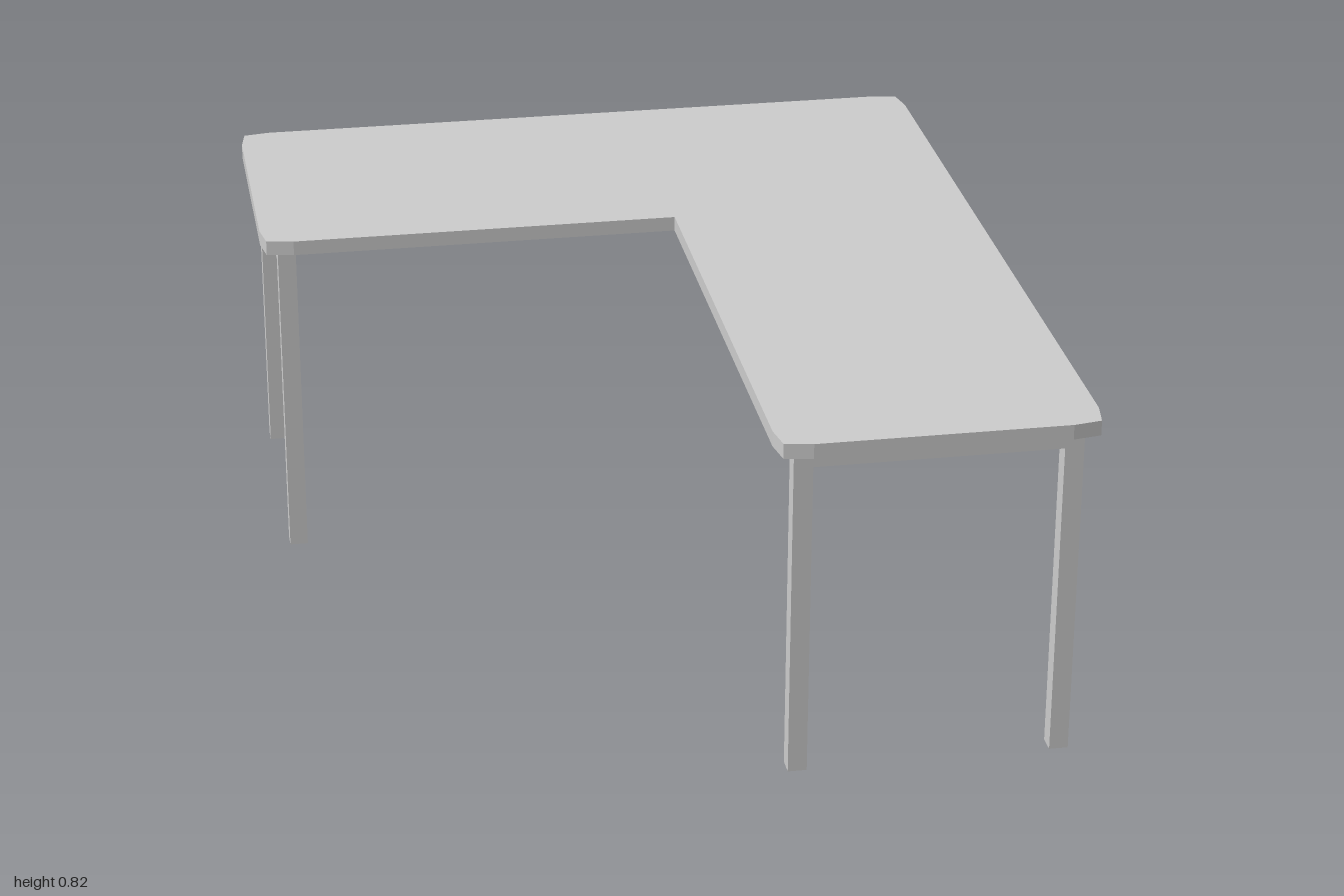
import * as THREE from 'three';

const TOP = 0.824, UNDER = 0.789, RAIL_BOTTOM = 0.75, BAR = 0.043;
const X = 0.857, Z = 1, INNER_X = 0.138, INNER_Z = -0.281;

const material = new THREE.MeshStandardMaterial({ color: 0xcccccc, flatShading: true });

// Box given by its minimum and maximum corners
function box(name, x0, x1, y0, y1, z0, z1) {
  const mesh = new THREE.Mesh(new THREE.BoxGeometry(x1 - x0, y1 - y0, z1 - z0), material);
  mesh.position.set((x0 + x1) / 2, (y0 + y1) / 2, (z0 + z1) / 2);
  mesh.name = name;
  return mesh;
}

// L-shaped outline in x and z; every outer corner is softened with two facets
function deskOutline() {
  const corners = [[-X, -Z], [X, -Z], [X, Z], [INNER_X, Z], [INNER_X, INNER_Z], [-X, INNER_Z]];
  const points = [];
  corners.forEach(([x, z], i) => {
    if (i === 4) return points.push(new THREE.Vector2(x, z));
    const corner = new THREE.Vector2(x, z);
    const before = new THREE.Vector2(...corners[(i + 5) % 6]).sub(corner).normalize();
    const after = new THREE.Vector2(...corners[(i + 1) % 6]).sub(corner).normalize();
    points.push(
      corner.clone().addScaledVector(before, 0.075),
      corner.clone().addScaledVector(before, 0.011).addScaledVector(after, 0.011),
      corner.clone().addScaledVector(after, 0.075)
    );
  });
  return new THREE.Shape(points);
}

export function createModel() {
  const model = new THREE.Group();
  model.name = 'cornerDesk';

  // Tabletop, extruded downward
  const topGeometry = new THREE.ExtrudeGeometry(deskOutline(), { depth: TOP - UNDER, bevelEnabled: false });
  topGeometry.rotateX(Math.PI / 2).translate(0, TOP, 0);
  const top = new THREE.Mesh(topGeometry, material);
  top.name = 'tabletop';
  model.add(top);

  // Five square legs
  const h = BAR / 2;
  const left = 0.797, wing = 0.199, end = 0.94, inner = -0.334;
  const legs = [[-left, -end], [-left, inner], [left, -end], [left, end], [wing, end]];
  legs.forEach(([x, z]) => model.add(box('leg', x - h, x + h, 0, UNDER, z - h, z + h)));

  // Rails under the two outer edges and the two wing ends, fitted between legs
  const rail = (name, x0, x1, z0, z1) => model.add(box(name, x0, x1, RAIL_BOTTOM, UNDER, z0, z1));
  rail('backRail', -left + h, left - h, -end - h, -end + h);
  rail('sideRail', left - h, left + h, -end + h, end - h);
  rail('frontEndRail', wing + h, left - h, end - h, end + h);
  rail('rightEndRail', -left - h, -left + h, -end + h, inner - h);

  return model;
}
